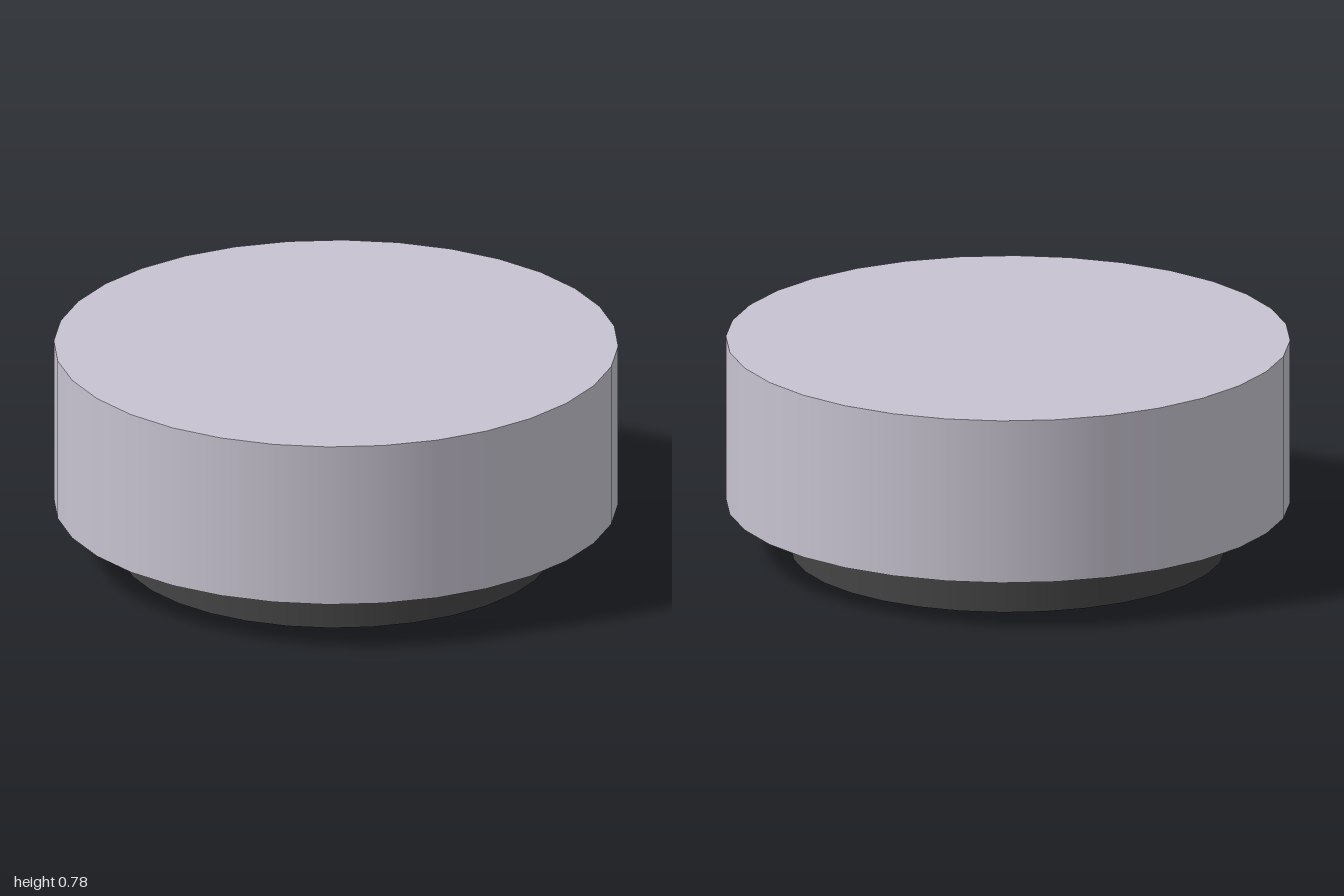
import * as THREE from 'three';

const SIDES = 32;
const OUTER = 1, INNER = 0.77;
const TOP = 0.78, STEP = 0.18;

const material = (color) => new THREE.MeshStandardMaterial({ color, side: THREE.DoubleSide });

export function createModel() {
  const group = new THREE.Group();
  const shell = material(0xc7c3d0);
  const grey = material(0xcccccc);
  const dark = material(0x444444);

  const add = (name, geometry, mat, y) => {
    const mesh = new THREE.Mesh(geometry, mat);
    mesh.name = name;
    mesh.position.y = y;
    group.add(mesh);
  };
  // Open, thin-walled tube between two heights
  const wall = (name, radius, low, high, mat) =>
    add(name, new THREE.CylinderGeometry(radius, radius, high - low, SIDES, 1, true), mat, (low + high) / 2);

  // Hollow cap: side wall and flat top
  wall('capWall', OUTER, STEP, TOP, shell);
  add('capTop', new THREE.CircleGeometry(OUTER, SIDES).rotateX(-Math.PI / 2), shell, TOP);

  // Flat ledge under the cap, facing down
  add('ledge', new THREE.RingGeometry(INNER, OUTER, SIDES).rotateX(Math.PI / 2), grey, STEP);

  // Narrow dark collar, open at the bottom and into the cap
  wall('collar', INNER, 0, STEP, dark);

  return group;
}
